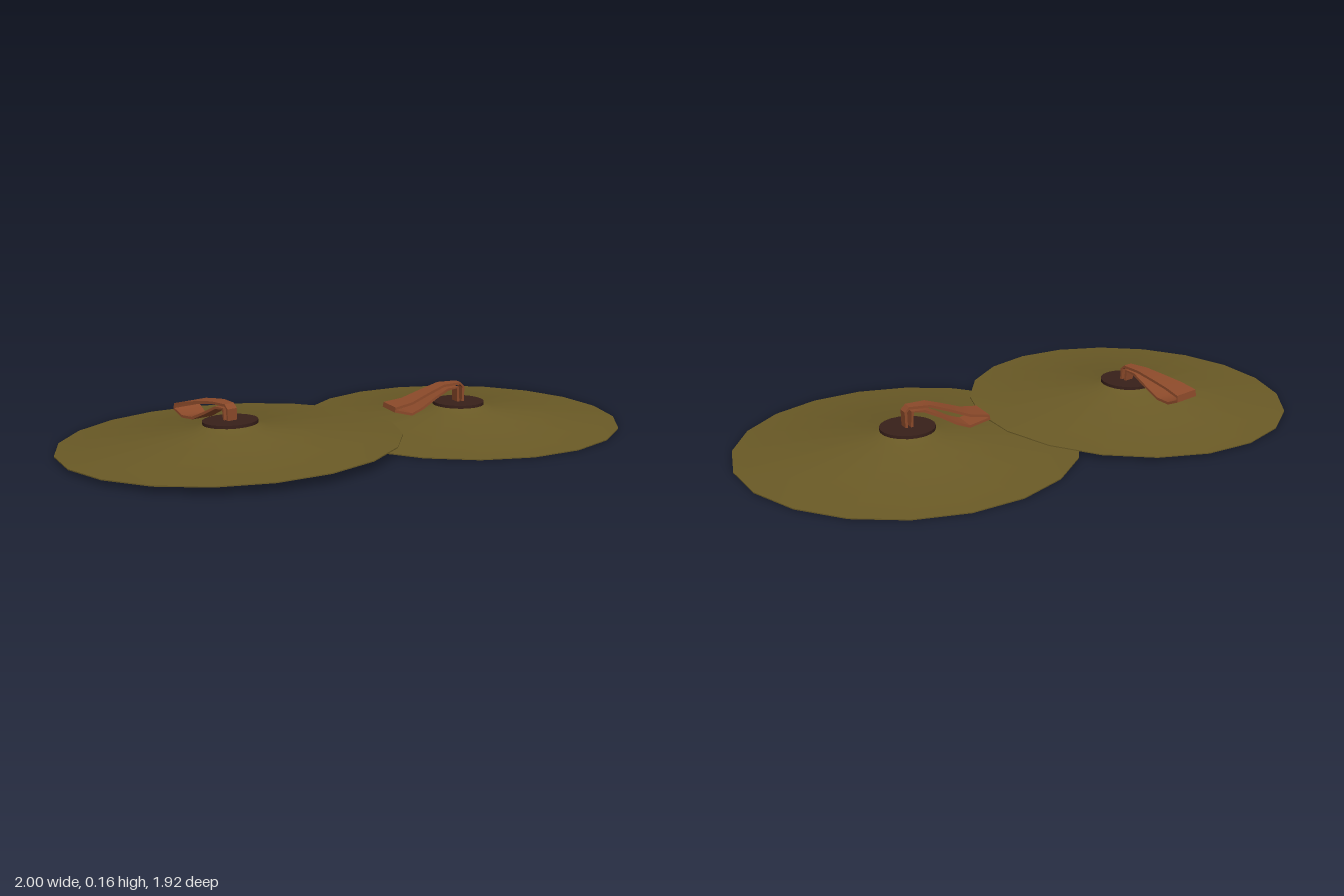
import * as THREE from 'three';
import { toCreasedNormals } from 'three/addons/utils/BufferGeometryUtils.js';

const brass = new THREE.MeshStandardMaterial({ color: 0x6a5a26, side: THREE.DoubleSide });
const leather = new THREE.MeshStandardMaterial({ color: 0x8c4a2a, side: THREE.DoubleSide });
const felt = new THREE.MeshStandardMaterial({ color: 0x38201a });

const SIDES = 20;

function addMesh(parent, name, geometry, material) {
  const mesh = new THREE.Mesh(geometry, material);
  mesh.name = name;
  parent.add(mesh);
  return mesh;
}

// Thin shell: shallow cone, raised bell, small hole in the middle
function plateGeometry() {
  const profile = [
    [0.018, 0.060], [0.096, 0.060], [0.140, 0.041], [0.636, 0],
    [0.636, 0.004], [0.142, 0.046], [0.100, 0.065], [0.018, 0.065], [0.018, 0.060],
  ].map(([r, y]) => new THREE.Vector2(r, y));
  return toCreasedNormals(new THREE.LatheGeometry(profile, SIDES), 0.35);
}

// Flat band following a path of [distance, height], widening outwards
function strapGeometry(path, thickness) {
  const positions = [];
  const rings = path.map(([d, y], i) => {
    const a = path[Math.max(i - 1, 0)];
    const b = path[Math.min(i + 1, path.length - 1)];
    const len = Math.hypot(b[0] - a[0], b[1] - a[1]);
    const nx = -(b[1] - a[1]) / len * thickness / 2;
    const ny = (b[0] - a[0]) / len * thickness / 2;
    const w = 0.02 + 0.037 * Math.max(d, 0) / 0.31;
    return [
      [d + nx, y + ny, w], [d + nx, y + ny, -w],
      [d - nx, y - ny, -w], [d - nx, y - ny, w],
    ];
  });
  const quad = (a, b, c, d) => positions.push(...a, ...b, ...c, ...a, ...c, ...d);
  for (let i = 0; i < rings.length - 1; i++) {
    for (let k = 0; k < 4; k++) {
      const n = (k + 1) % 4;
      quad(rings[i][k], rings[i + 1][k], rings[i + 1][n], rings[i][n]);
    }
  }
  const last = rings[rings.length - 1];
  quad(rings[0][0], rings[0][1], rings[0][2], rings[0][3]);
  quad(last[3], last[2], last[1], last[0]);
  const geometry = new THREE.BufferGeometry();
  geometry.setAttribute('position', new THREE.Float32BufferAttribute(positions, 3));
  geometry.computeVertexNormals();
  return toCreasedNormals(geometry, 0.6);
}

// One cymbal with its felt pad and hand strap
function makeCymbal(name, strapPath, strapAngle) {
  const cymbal = new THREE.Group();
  cymbal.name = name;
  addMesh(cymbal, 'plate', plateGeometry(), brass);
  const pad = addMesh(cymbal, 'feltPad', new THREE.CylinderGeometry(0.104, 0.104, 0.012, SIDES), felt);
  pad.position.y = 0.069;
  const strap = addMesh(cymbal, 'handStrap', strapGeometry(strapPath, 0.01), leather);
  strap.rotation.y = strapAngle;
  // Knot of the strap under the bell
  const knot = addMesh(cymbal, 'strapKnot', new THREE.BoxGeometry(0.03, 0.014, 0.036), leather);
  knot.position.y = 0.055;
  knot.rotation.y = strapAngle;
  return cymbal;
}

export function createModel() {
  const model = new THREE.Group();
  model.name = 'cymbalPair';

  // Lower cymbal, lying flat
  const lower = makeCymbal('lowerCymbal', [
    [-0.010, 0.052], [-0.012, 0.135], [0.002, 0.149], [0.08, 0.147], [0.15, 0.122],
    [0.23, 0.091], [0.305, 0.079], [0.308, 0.069], [0.23, 0.047], [0.18, 0.066],
    [0.12, 0.101], [0.06, 0.13], [0.014, 0.133], [0.009, 0.052],
  ], Math.atan2(-0.2, -0.245));
  lower.position.set(0.362, 0, -0.325);

  // Upper cymbal, its edge resting on the lower one
  const upper = makeCymbal('upperCymbal', [
    [-0.010, 0.052], [-0.012, 0.118], [0.002, 0.131], [0.08, 0.132], [0.16, 0.122],
    [0.24, 0.111], [0.305, 0.096], [0.308, 0.078], [0.26, 0.055], [0.2, 0.056],
    [0.13, 0.084], [0.06, 0.115], [0.014, 0.117], [0.009, 0.052],
  ], Math.atan2(0.172, -0.257));
  upper.position.set(-0.364, 0.019, 0.32);
  upper.rotation.set(-0.006, -0.015, 0.027);

  model.add(lower, upper);
  return model;
}
